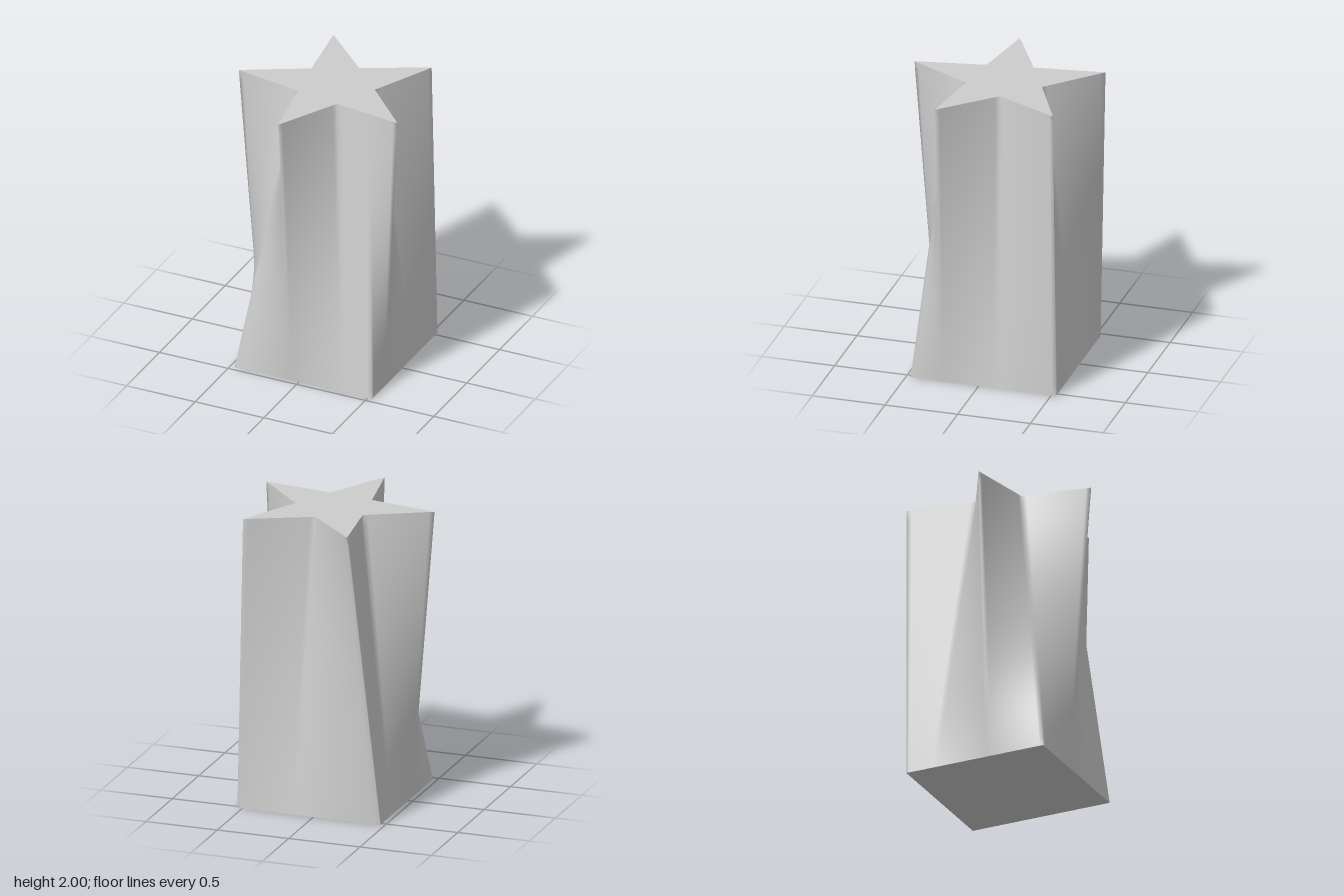
import * as THREE from 'three';

const HEIGHT = 2, CX = 0.032, CZ = -0.032;
const OUTER = 0.6667, INNER = 0.2667;
const STEPS = 14, ROWS = 32;

// Star corner k (even = tip, odd = notch), counterclockwise from above
function starPoint(k) {
  const a = Math.PI / 4 + k * Math.PI / 5;
  const r = k % 2 ? INNER : OUTER;
  return new THREE.Vector2(CX + r * Math.cos(a), CZ - r * Math.sin(a));
}

// Unit square walked by perimeter distance from its back +x corner
function squarePoint(s) {
  const side = Math.floor(s + 1e-9) % 4, t = s - Math.floor(s + 1e-9);
  const [x, z] = [[0.5 - t, -0.5], [-0.5, -0.5 + t], [-0.5 + t, 0.5], [0.5, 0.5 - t]][side];
  return new THREE.Vector2(CX + x, CZ + z);
}

// Matching rings: each star corner pairs with a distance along the square
function makeRings() {
  const match = [0, 0.4, 1, 1.2, 1.6, 2, 2.4, 2.8, 3.2, 3.6, 4];
  const bottom = [], top = [];
  for (let k = 0; k < 10; k++) {
    const a = starPoint(k), b = starPoint(k + 1);
    for (let i = 0; i < STEPS; i++) {
      const u = i / STEPS;
      top.push(a.clone().lerp(b, u));
      bottom.push(squarePoint(match[k] + (match[k + 1] - match[k]) * u));
    }
  }
  return { bottom, top };
}

// Ruled skin from the square base to the star top
function loft(bottom, top) {
  const n = top.length, pos = [], index = [];
  for (let j = 0; j <= ROWS; j++) {
    const v = j / ROWS;
    for (let i = 0; i < n; i++) {
      const p = bottom[i].clone().lerp(top[i], v);
      pos.push(p.x, v * HEIGHT, p.y);
    }
  }
  for (let j = 0; j < ROWS; j++) {
    for (let i = 0; i < n; i++) {
      const a = j * n + i, b = j * n + (i + 1) % n;
      index.push(a, b, a + n, b, b + n, a + n);
    }
  }
  const g = new THREE.BufferGeometry();
  g.setAttribute('position', new THREE.Float32BufferAttribute(pos, 3));
  g.setIndex(index);
  g.computeVertexNormals();
  return g;
}

export function createModel() {
  const group = new THREE.Group();
  group.name = 'squareToStarLoft';
  const grey = new THREE.MeshStandardMaterial({ color: 0xcccccc });
  grey.name = 'light grey';
  const add = (name, geometry) => {
    const mesh = new THREE.Mesh(geometry, grey);
    mesh.name = name;
    group.add(mesh);
  };

  const { bottom, top } = makeRings();
  add('loftedSides', loft(bottom, top));

  // Flat caps
  const starCorners = Array.from({ length: 10 }, (_, k) => starPoint(k));
  const starShape = new THREE.Shape(starCorners.map(p => new THREE.Vector2(p.x, -p.y)));
  add('starTop', new THREE.ShapeGeometry(starShape).rotateX(-Math.PI / 2).translate(0, HEIGHT, 0));
  const squareShape = new THREE.Shape([0, 1, 2, 3].map(squarePoint));
  add('squareBase', new THREE.ShapeGeometry(squareShape).rotateX(Math.PI / 2));
  return group;
}
